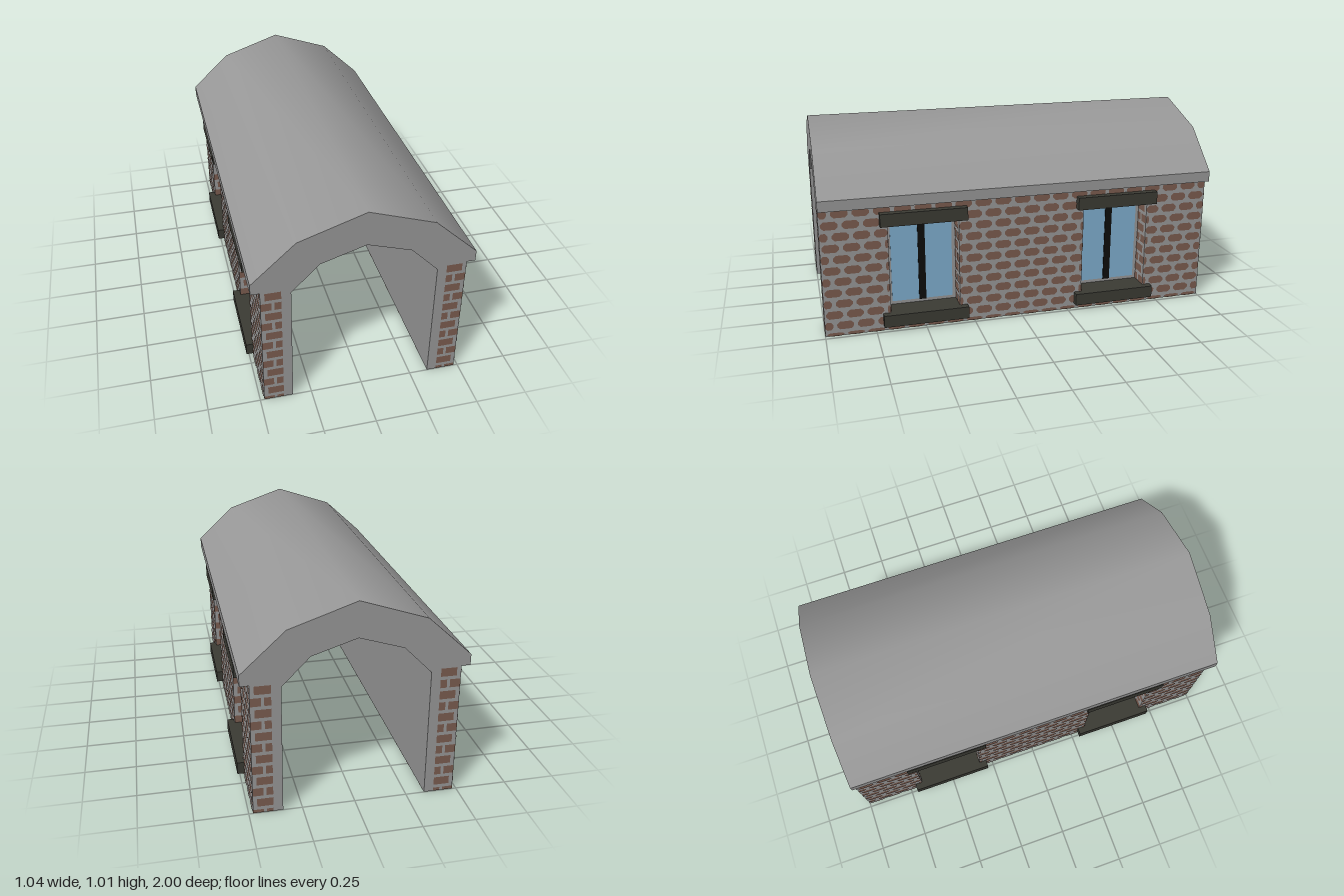
import * as THREE from 'three';
import { mergeGeometries, toCreasedNormals } from 'three/addons/utils/BufferGeometryUtils.js';

const mat = (name, color) => Object.assign(new THREE.MeshStandardMaterial({ color }), { name });
const V = (x, y, z) => new THREE.Vector3(x, y, z);

// Main dimensions
const INNER = 0.34, LINING = 0.385, OUTER = 0.48, EAVE_Y = 0.655;
const WINDOWS = [-0.5, 0.5], HALF = 0.175, SILL_Y = 0.09, HEAD_Y = 0.555;
const PITCH = 0.0575, BRICK_H = 0.041;

export function createModel() {
  const stone = mat('greyStone', 0x999999);
  const brick = mat('redBrick', 0x7c5d50);
  brick.side = THREE.DoubleSide;
  const trim = mat('darkTrim', 0x3b3b34);
  const glass = mat('blueGlass', 0x80afd0);
  const black = mat('blackBar', 0x0d0d0b);

  const model = new THREE.Group();
  model.name = 'vaultedPassage';

  const add = (parent, name, geometry, material) => {
    const mesh = new THREE.Mesh(geometry, material);
    mesh.name = name;
    parent.add(mesh);
    return mesh;
  };
  // Box given by its two corners
  const box = (parent, name, material, a, b) => {
    const g = new THREE.BoxGeometry(b[0] - a[0], b[1] - a[1], b[2] - a[2]);
    g.translate((a[0] + b[0]) / 2, (a[1] + b[1]) / 2, (a[2] + b[2]) / 2);
    return add(parent, name, g, material);
  };

  // Roof vault with its inner lining down to the ground
  const half = [[LINING, 0], [LINING, EAVE_Y], [0.522, EAVE_Y], [0.522, 0.708], [0.315, 0.9]];
  const inner = [[0.21, 0.768], [INNER, 0.635], [INNER, 0]];
  const flip = (pts) => pts.map(([x, y]) => [-x, y]).reverse();
  const outline = [...half, [0, 1.007], ...flip(half), ...flip(inner), [0, 0.835], ...inner];
  const vault = new THREE.ExtrudeGeometry(
    new THREE.Shape(outline.map(([x, y]) => new THREE.Vector2(x, y))),
    { depth: 2, bevelEnabled: false });
  vault.translate(0, 0, -1);
  add(model, 'roofVault', toCreasedNormals(vault, 0.7), stone);

  // One flat brick with clipped corners
  const brickShape = (u0, u1, v0, v1) => {
    const c = Math.min(0.014, (u1 - u0) / 4), d = Math.min(0.014, (v1 - v0) / 3);
    return new THREE.Shape([
      [u0 + c, v0], [u1 - c, v0], [u1, v0 + d], [u1, v1 - d],
      [u1 - c, v1], [u0 + c, v1], [u0, v1 - d], [u0, v0 + d],
    ].map(([u, v]) => new THREE.Vector2(u, v)));
  };
  // Lay flat bricks on a plane with axes u, v through a point
  const layBricks = (shapes, u, v, at) => {
    const n = new THREE.Vector3().crossVectors(u, v);
    return new THREE.ShapeGeometry(shapes)
      .applyMatrix4(new THREE.Matrix4().makeBasis(u, v, n).setPosition(at));
  };

  // Brick courses along the outside, cut at the window openings
  const faceBricks = [], endBricks = [], jambBricks = [];
  for (let r = -1; r <= 10; r++) {
    const y0 = Math.max(0.001, 0.034 + r * PITCH), y1 = 0.034 + r * PITCH + BRICK_H;
    const open = r >= 1 && r <= 9;
    const spans = open ? [[-1, -0.675], [-0.325, 0.325], [0.675, 1]] : [[-1, 1]];
    const shift = r % 2 ? 0.05 : 0;
    for (let i = -11; i <= 11; i++) {
      const a = i * 0.1 + shift - 0.041, b = a + 0.082;
      for (const [s, e] of spans) {
        const u0 = Math.max(a, s), u1 = Math.min(b, e);
        if (u1 - u0 > 0.015) faceBricks.push(brickShape(u0, u1, y0, y1));
      }
    }
    // Return courses on the wall ends and in the window reveals
    const cuts = r % 2 ? [[LINING, 0.416], [0.43, OUTER]] : [[LINING, 0.46]];
    for (const [a, b] of cuts) {
      const s = new THREE.Shape([[a, y0], [b, y0], [b, y1], [a, y1]]
        .map(([x, y]) => new THREE.Vector2(x, y)));
      endBricks.push(s);
      if (r >= 1 && r <= 8) jambBricks.push(s);
    }
  }
  // Bricks under the wall foot
  const footBricks = [];
  for (let i = 0; i < 20; i++) {
    const z = -0.985 + i * 0.1;
    footBricks.push(brickShape(z, z + 0.072, INNER, OUTER));
  }

  const X = V(1, 0, 0), Y = V(0, 1, 0), Z = V(0, 0, 1);
  const bricks = [
    layBricks(faceBricks, V(0, 0, -1), Y, V(OUTER + 0.002, 0, 0)),
    layBricks(endBricks, X, Y, V(0, 0, 1.001)),
    layBricks(endBricks, X, Y, V(0, 0, -1.001)),
    layBricks(footBricks, V(0, 0, -1), V(1, 0, 0), V(0, -0.001, 0)),
  ];
  for (const c of WINDOWS) for (const s of [-1, 1]) {
    bricks.push(layBricks(jambBricks, X, Y, V(0, 0, c + s * (HALF - 0.002))));
  }
  const brickwork = mergeGeometries(bricks);

  // Outer wall layer with two openings
  const wallShape = new THREE.Shape([[-1, 0], [1, 0], [1, EAVE_Y], [-1, EAVE_Y]]
    .map(([u, v]) => new THREE.Vector2(u, v)));
  for (const c of WINDOWS) {
    wallShape.holes.push(new THREE.Path([
      [c - HALF, SILL_Y], [c - HALF, HEAD_Y], [c + HALF, HEAD_Y], [c + HALF, SILL_Y],
    ].map(([u, v]) => new THREE.Vector2(u, v))));
  }
  const wallGeometry = new THREE.ExtrudeGeometry(wallShape,
    { depth: OUTER - LINING, bevelEnabled: false });
  wallGeometry.rotateY(Math.PI / 2).translate(LINING, 0, 0);

  // Both side walls, the second turned half round
  for (const [name, turn] of [['leftWall', 0], ['rightWall', Math.PI]]) {
    const side = new THREE.Group();
    side.name = name;
    side.rotation.y = turn;
    model.add(side);
    add(side, 'mortarWall', wallGeometry, stone);
    add(side, 'brickwork', brickwork, brick);
    for (const c of WINDOWS) {
      const w = new THREE.Group();
      w.name = 'window';
      w.position.z = c;
      side.add(w);
      box(w, 'pane', glass, [LINING, 0.11, -0.155], [LINING + 0.004, 0.55, 0.155]);
      box(w, 'mullion', black, [LINING, 0.108, -0.018], [LINING + 0.008, 0.553, 0.018]);
      box(w, 'sill', trim, [LINING, 0.03, -0.214], [0.516, 0.092, 0.214]);
      box(w, 'lintel', trim, [LINING, 0.554, -0.214], [0.516, 0.619, 0.214]);
    }
  }
  return model;
}
